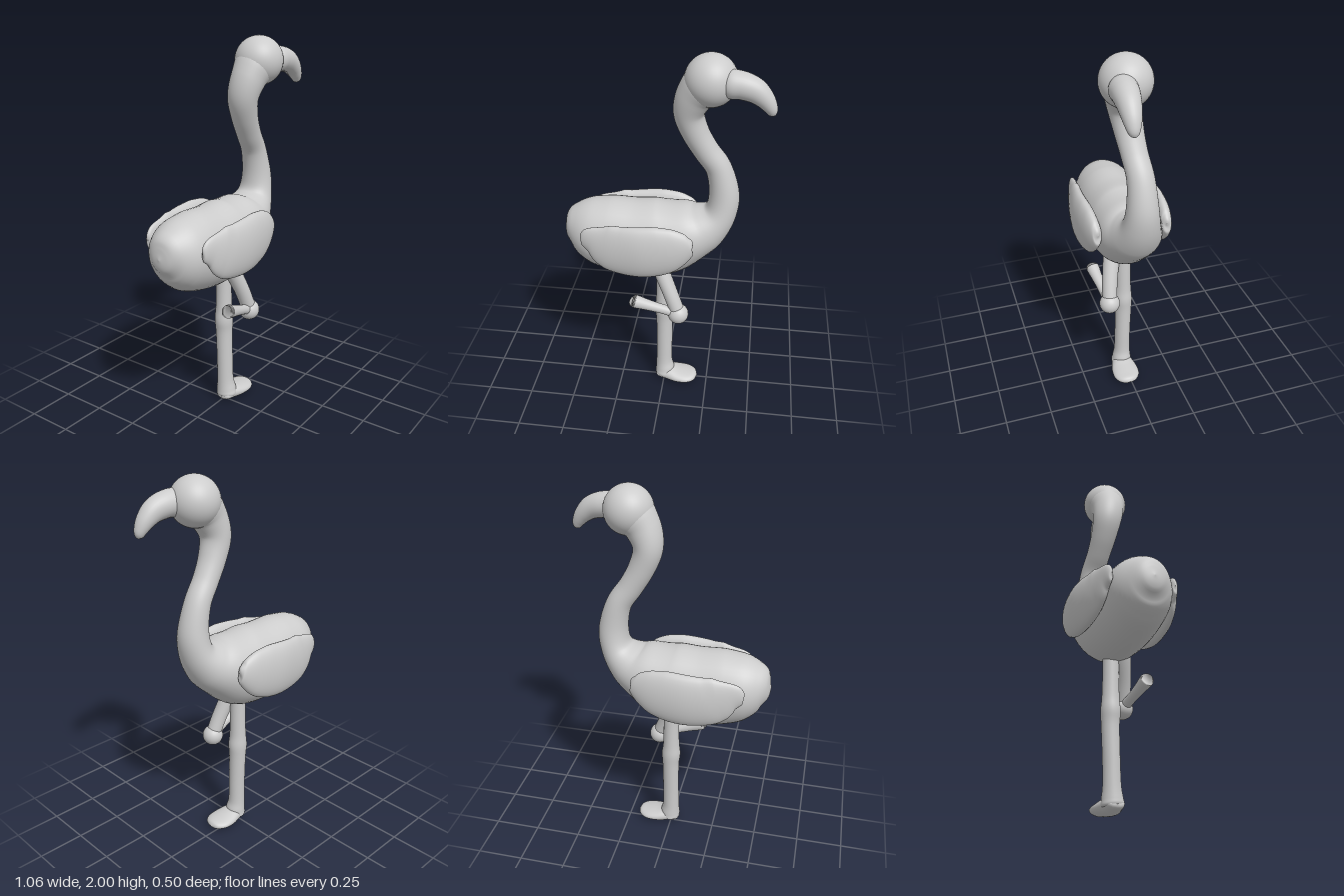
import * as THREE from 'three';

// Smooth tube through sections [x, y, z, radius in the xy plane, radius sideways]
function loft(sections, sides = 32, perSection = 6) {
  const centres = new THREE.CatmullRomCurve3(sections.map(s => new THREE.Vector3(s[0], s[1], s[2])), false, 'catmullrom', 0.5);
  const radii = new THREE.CatmullRomCurve3(sections.map(s => new THREE.Vector3(s[3], s[4], 0)), false, 'catmullrom', 0.5);
  const rings = (sections.length - 1) * perSection;
  const zAxis = new THREE.Vector3(0, 0, 1);
  const pos = [], index = [];
  for (let i = 0; i <= rings; i++) {
    const t = i / rings;
    const c = centres.getPoint(t), r = radii.getPoint(t), tangent = centres.getTangent(t);
    const n = new THREE.Vector3().crossVectors(zAxis, tangent).normalize();
    const b = new THREE.Vector3().crossVectors(tangent, n);
    for (let j = 0; j < sides; j++) {
      const a = j / sides * Math.PI * 2;
      const p = c.clone()
        .addScaledVector(n, Math.cos(a) * Math.max(r.x, 0))
        .addScaledVector(b, Math.sin(a) * Math.max(r.y, 0));
      pos.push(p.x, p.y, p.z);
      if (i < rings) {
        const k = i * sides, j2 = (j + 1) % sides;
        index.push(k + j, k + j2, k + sides + j, k + j2, k + sides + j2, k + sides + j);
      }
    }
  }
  const g = new THREE.BufferGeometry();
  g.setAttribute('position', new THREE.Float32BufferAttribute(pos, 3));
  g.setIndex(index);
  g.computeVertexNormals();
  return g;
}

export function createModel() {
  const group = new THREE.Group();
  const grey = new THREE.MeshStandardMaterial({ color: 0xcccccc });
  grey.name = 'light grey';
  const add = (name, geometry) => {
    const mesh = new THREE.Mesh(geometry, grey);
    mesh.name = name;
    group.add(mesh);
    return mesh;
  };

  // Body flowing from the tail through the chest into the curved neck
  add('bodyAndNeck', loft([
    [-0.53, 1.01, 0, 0, 0],
    [-0.515, 1.01, 0, 0.07, 0.06],
    [-0.47, 1.012, 0, 0.13, 0.115],
    [-0.40, 1.005, 0, 0.175, 0.155],
    [-0.30, 0.988, 0, 0.205, 0.17],
    [-0.15, 0.972, 0, 0.215, 0.18],
    [0, 0.985, 0, 0.212, 0.18],
    [0.13, 1.03, 0, 0.168, 0.168],
    [0.22, 1.075, 0, 0.126, 0.135],
    [0.285, 1.15, 0, 0.086, 0.1],
    [0.302, 1.26, 0, 0.077, 0.08],
    [0.27, 1.40, 0, 0.065, 0.068],
    [0.205, 1.50, 0.01, 0.063, 0.066],
    [0.15, 1.60, 0.02, 0.067, 0.072],
    [0.12, 1.70, 0.03, 0.075, 0.082],
    [0.145, 1.79, 0.045, 0.09, 0.092],
    [0.20, 1.86, 0.055, 0.1, 0.1],
    [0.23, 1.89, 0.06, 0, 0],
  ], 40));

  // Head
  add('head', new THREE.SphereGeometry(0.125, 40, 28)).position.set(0.22, 1.875, 0.058);

  // Hooked beak
  add('beak', loft([
    [0.27, 1.875, 0.09, 0, 0],
    [0.30, 1.876, 0.1, 0.062, 0.06],
    [0.36, 1.874, 0.105, 0.064, 0.063],
    [0.42, 1.855, 0.11, 0.058, 0.055],
    [0.465, 1.82, 0.113, 0.046, 0.046],
    [0.495, 1.78, 0.115, 0.033, 0.034],
    [0.507, 1.75, 0.115, 0.02, 0.02],
    [0.509, 1.738, 0.115, 0, 0],
  ]));

  // Folded wings, one on each flank
  for (const [name, side] of [['frontWing', 1], ['backWing', -1]]) {
    add(name, loft([
      [-0.412, 1.045, 0.17, 0, 0],
      [-0.40, 1.045, 0.173, 0.045, 0.015],
      [-0.35, 1.04, 0.18, 0.08, 0.026],
      [-0.28, 1.018, 0.188, 0.125, 0.036],
      [-0.20, 1.0, 0.195, 0.14, 0.045],
      [-0.10, 1.0, 0.2, 0.147, 0.052],
      [0, 1.015, 0.198, 0.14, 0.05],
      [0.08, 1.035, 0.194, 0.113, 0.042],
      [0.14, 1.05, 0.188, 0.07, 0.03],
      [0.158, 1.055, 0.185, 0.038, 0.02],
      [0.166, 1.055, 0.183, 0, 0],
    ].map(([x, y, z, a, b]) => [x, y, z * side, a, b])));
  }

  // Standing leg with a slight knee, flaring at the ankle
  add('standingLeg', loft([
    [-0.005, 0.86, 0, 0.04, 0.042],
    [-0.003, 0.68, 0, 0.042, 0.042],
    [-0.003, 0.57, 0, 0.045, 0.045],
    [-0.002, 0.50, 0, 0.052, 0.05],
    [0, 0.42, 0, 0.046, 0.046],
    [0, 0.25, 0.005, 0.045, 0.044],
    [0, 0.13, 0.008, 0.046, 0.046],
    [0.005, 0.07, 0.012, 0.054, 0.054],
    [0.005, 0.035, 0.015, 0.05, 0.054],
    [0.005, 0.02, 0.015, 0, 0],
  ]));

  // Flat webbed foot
  add('foot', loft([
    [-0.05, 0.038, 0.016, 0, 0],
    [-0.035, 0.038, 0.016, 0.024, 0.04],
    [0.02, 0.044, 0.016, 0.041, 0.058],
    [0.08, 0.038, 0.018, 0.036, 0.074],
    [0.14, 0.036, 0.02, 0.028, 0.072],
    [0.18, 0.036, 0.02, 0.02, 0.045],
    [0.196, 0.036, 0.02, 0, 0],
  ]));

  // Raised leg: thigh, knee and folded shin
  add('raisedThigh', loft([
    [-0.03, 0.86, 0.055, 0.04, 0.04],
    [-0.005, 0.79, 0.065, 0.042, 0.045],
    [0.045, 0.67, 0.09, 0.04, 0.042],
    [0.088, 0.555, 0.105, 0.04, 0.04],
  ], 24));
  add('raisedKnee', new THREE.SphereGeometry(0.056, 28, 20)).position.set(0.088, 0.552, 0.105);
  add('raisedShin', loft([
    [0.088, 0.555, 0.105, 0.03, 0.03],
    [0, 0.585, 0.117, 0.026, 0.026],
    [-0.08, 0.612, 0.126, 0.03, 0.03],
    [-0.142, 0.633, 0.132, 0.036, 0.036],
    [-0.15, 0.636, 0.133, 0.03, 0.03],
    [-0.153, 0.637, 0.133, 0, 0],
  ], 24));

  return group;
}
